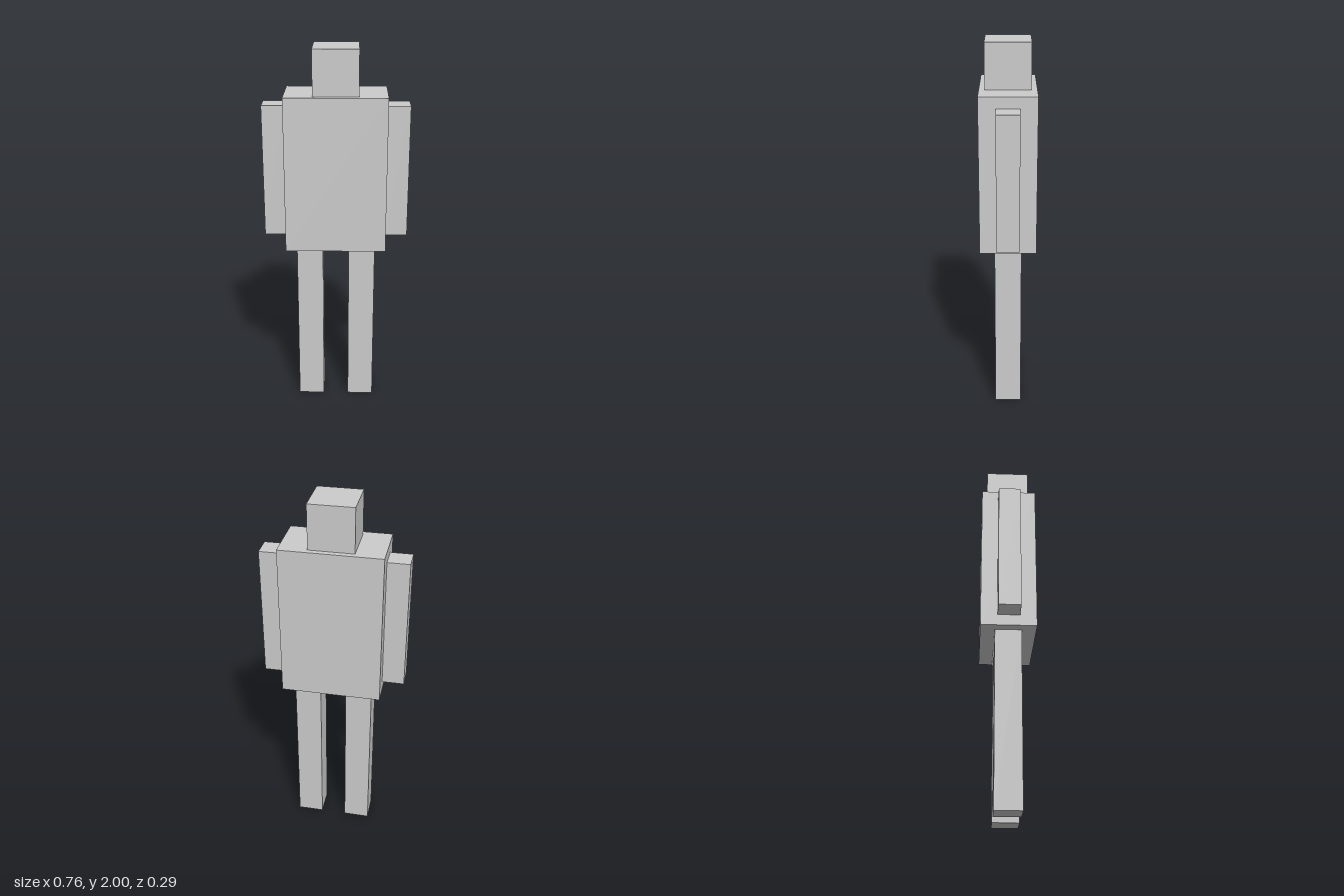
import * as THREE from 'three';

export function createModel() {
  const model = new THREE.Group();
  model.name = 'blockFigure';
  const material = new THREE.MeshStandardMaterial({ color: 0xcccccc, flatShading: true });

  // Box standing on height y, centred on x and z = 0
  const block = (name, w, h, d, x, y) => {
    const mesh = new THREE.Mesh(new THREE.BoxGeometry(w, h, d), material);
    mesh.name = name;
    mesh.position.set(x, y + h / 2, 0);
    model.add(mesh);
  };

  block('torso', 0.53, 0.824, 0.294, 0, 0.941);
  block('head', 0.235, 0.235, 0.235, 0, 1.765);

  // Mirrored limbs, the model's left on +x
  for (const [side, s] of [['left', 1], ['right', -1]]) {
    block(side + 'Arm', 0.118, 0.706, 0.118, s * 0.323, 1.0);
    block(side + 'Leg', 0.141, 0.941, 0.141, s * 0.14, 0);
  }
  return model;
}
